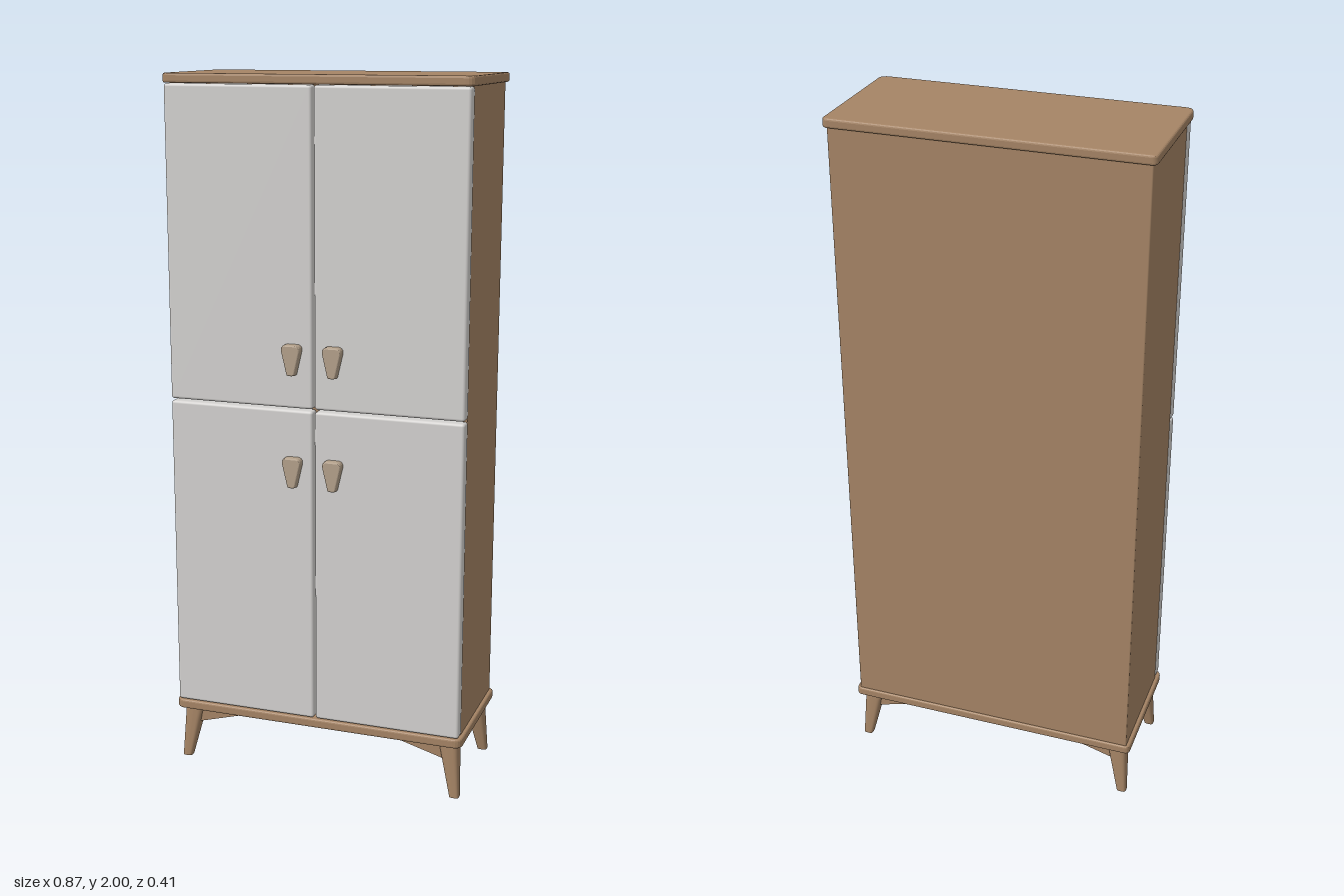
import * as THREE from 'three';
import { RoundedBoxGeometry } from 'three/addons/geometries/RoundedBoxGeometry.js';

const material = (name, color) => {
  const m = new THREE.MeshStandardMaterial({ color });
  m.name = name;
  return m;
};

export function createModel() {
  const wood = material('wood', 0xa58465);
  const paint = material('door paint', 0xd4d2d0);
  const knob = material('handle', 0xb3a08a);
  const model = new THREE.Group();

  const add = (name, geometry, mat, x = 0, y = 0, z = 0, parent = model) => {
    const mesh = new THREE.Mesh(geometry, mat);
    mesh.name = name;
    mesh.position.set(x, y, z);
    parent.add(mesh);
    return mesh;
  };

  // Box given by its limits, with softened edges
  const box = (name, mat, [x0, x1], [y0, y1], [z0, z1], radius) =>
    add(name, new RoundedBoxGeometry(x1 - x0, y1 - y0, z1 - z0, 3, radius), mat,
      (x0 + x1) / 2, (y0 + y1) / 2, (z0 + z1) / 2);

  // Horizontal board with rounded corners in plan and a small edge bevel
  const board = (name, w, y0, y1, z0, z1, r) => {
    const b = 0.006, x = w - b, back = -z0 - b, front = -z1 + b;
    const s = new THREE.Shape();
    s.moveTo(-x + r, front);
    s.lineTo(x - r, front);
    s.quadraticCurveTo(x, front, x, front + r);
    s.lineTo(x, back - r / 2);
    s.quadraticCurveTo(x, back, x - r / 2, back);
    s.lineTo(-x + r / 2, back);
    s.quadraticCurveTo(-x, back, -x, back - r / 2);
    s.lineTo(-x, front + r);
    s.quadraticCurveTo(-x, front, -x + r, front);
    const g = new THREE.ExtrudeGeometry(s, {
      depth: y1 - y0 - 2 * b, bevelSize: b, bevelThickness: b, bevelSegments: 3, curveSegments: 5,
    });
    g.rotateX(-Math.PI / 2);
    add(name, g, wood, 0, y0 + b, 0);
  };

  // Tapered solid with a rounded-square section, from a bottom to a top section
  const taper = (bottom, top) => {
    const g = new THREE.CylinderGeometry(1, 1, 1, 24, 4);
    const p = g.attributes.position;
    const soften = (v) => Math.sign(v) * Math.pow(Math.abs(v), 0.55);
    for (let i = 0; i < p.count; i++) {
      const t = p.getY(i) + 0.5;
      const at = (k) => THREE.MathUtils.lerp(bottom[k], top[k], t);
      p.setXYZ(i, at('x') + soften(p.getX(i)) * at('w'), at('y'), at('z') + soften(p.getZ(i)) * at('d'));
    }
    g.computeVertexNormals();
    return g;
  };

  // Carcass and boards
  box('carcass', wood, [-0.425, 0.425], [0.18, 1.98], [-0.197, 0.146], 0.004);
  board('topBoard', 0.436, 1.974, 2, -0.206, 0.182, 0.02);
  board('baseBoard', 0.436, 0.16, 0.187, -0.203, 0.184, 0.02);

  // Four doors with narrow gaps
  for (const side of [-1, 1]) {
    const x = side < 0 ? [-0.427, -0.003] : [0.003, 0.427];
    box('lowerDoor', paint, x, [0.189, 1.098], [0.144, 0.182], 0.008);
    box('upperDoor', paint, x, [1.104, 1.973], [0.144, 0.182], 0.008);
  }

  // Tapered handles: wide at the top, narrow at the bottom
  const handle = new THREE.Shape();
  handle.moveTo(-0.008, -0.04);
  handle.quadraticCurveTo(0, -0.042, 0.008, -0.04);
  handle.lineTo(0.023, 0.024);
  handle.quadraticCurveTo(0.025, 0.036, 0.014, 0.037);
  handle.lineTo(-0.014, 0.037);
  handle.quadraticCurveTo(-0.025, 0.036, -0.023, 0.024);
  handle.closePath();
  const handleGeometry = new THREE.ExtrudeGeometry(handle, {
    depth: 0.018, bevelSize: 0.004, bevelThickness: 0.006, bevelSegments: 3, curveSegments: 5,
  });
  for (const x of [-0.059, 0.059])
    for (const y of [0.925, 1.243]) add('handle', handleGeometry, knob, x, y, 0.181);

  // Bracket under the base, deep at the leg and thin at its end
  const bracket = (length, depth, tip, width) => {
    const s = new THREE.Shape();
    s.moveTo(0, 0.162);
    s.lineTo(0, 0.162 - depth);
    s.lineTo(length, 0.162 - tip);
    s.lineTo(length, 0.162);
    s.closePath();
    const g = new THREE.ExtrudeGeometry(s, { depth: width, bevelEnabled: false });
    return g.translate(0, 0, -width / 2);
  };

  // Splayed legs, each with a front and a side bracket
  for (const sx of [-1, 1])
    for (const sz of [-1, 1]) {
      const leg = new THREE.Group();
      leg.name = 'legAssembly';
      model.add(leg);
      const zShift = sz < 0 ? -0.022 : 0;
      add('leg', taper(
        { x: sx * 0.413, y: 0, z: sz * 0.153 + zShift, w: 0.014, d: 0.014 },
        { x: sx * 0.390, y: 0.162, z: sz * 0.131 + zShift, w: 0.029, d: 0.029 },
      ), wood, 0, 0, 0, leg);
      const long = add('longBracket', bracket(0.147, 0.056, 0.014, 0.03), wood,
        sx * 0.387, 0, sz * 0.134 + zShift, leg);
      if (sx > 0) long.rotation.y = Math.PI;
      const short = add('sideBracket', bracket(sz > 0 ? 0.141 : 0.143, 0.048, 0.022, 0.03), wood,
        sx * 0.392, 0, sz * 0.131 + zShift, leg);
      short.rotation.y = sz > 0 ? Math.PI / 2 : -Math.PI / 2;
    }

  return model;
}
